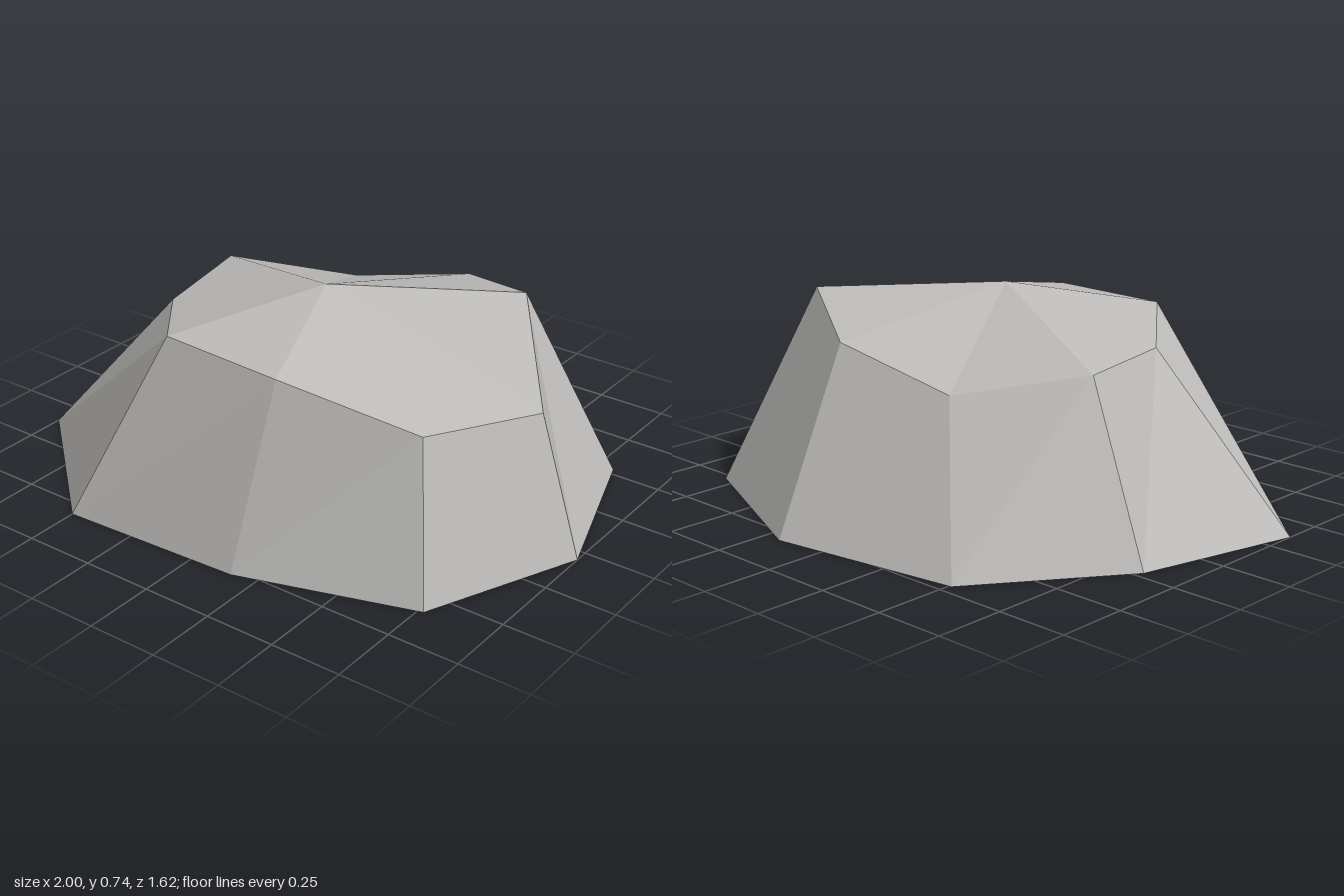
import * as THREE from 'three';

// Irregular nine-sided outlines, counterclockwise seen from above
const base = [
  [1, 0, 0.05], [0.81, 0, -0.53], [0.18, 0, -0.81],
  [-0.51, 0, -0.71], [-0.86, 0, -0.22], [-1, 0, 0.36],
  [-0.5, 0, 0.81], [0.16, 0, 0.78], [0.77, 0, 0.59],
];
const shoulder = [
  [0.845, 0.485, 0.05], [0.565, 0.7, -0.29], [0.21, 0.6, -0.5],
  [-0.24, 0.495, -0.445], [-0.6, 0.575, -0.17], [-0.52, 0.575, 0.24],
  [-0.26, 0.635, 0.565], [0.205, 0.63, 0.59], [0.66, 0.515, 0.45],
];
const peak = [0.04, 0.735, 0.11];

function facetedMesh(name, points, material) {
  const geometry = new THREE.BufferGeometry();
  geometry.setAttribute('position', new THREE.Float32BufferAttribute(points.flat(), 3));
  geometry.computeVertexNormals(); // unshared corners give flat facets
  const mesh = new THREE.Mesh(geometry, material);
  mesh.name = name;
  return mesh;
}

export function createModel() {
  const stone = new THREE.MeshStandardMaterial({ color: 0xbcbbb9, side: THREE.DoubleSide });
  stone.name = 'stone grey';

  const sides = [];
  const cap = [];
  base.forEach((b, i) => {
    const j = (i + 1) % base.length;
    // sloping side facet
    sides.push(b, base[j], shoulder[j], b, shoulder[j], shoulder[i]);
    // fan of the cap around the peak
    cap.push(shoulder[i], shoulder[j], peak);
  });

  const rock = new THREE.Group();
  rock.name = 'rock';
  // The underside is left open
  rock.add(facetedMesh('rockSides', sides, stone), facetedMesh('rockCap', cap, stone));
  return rock;
}
